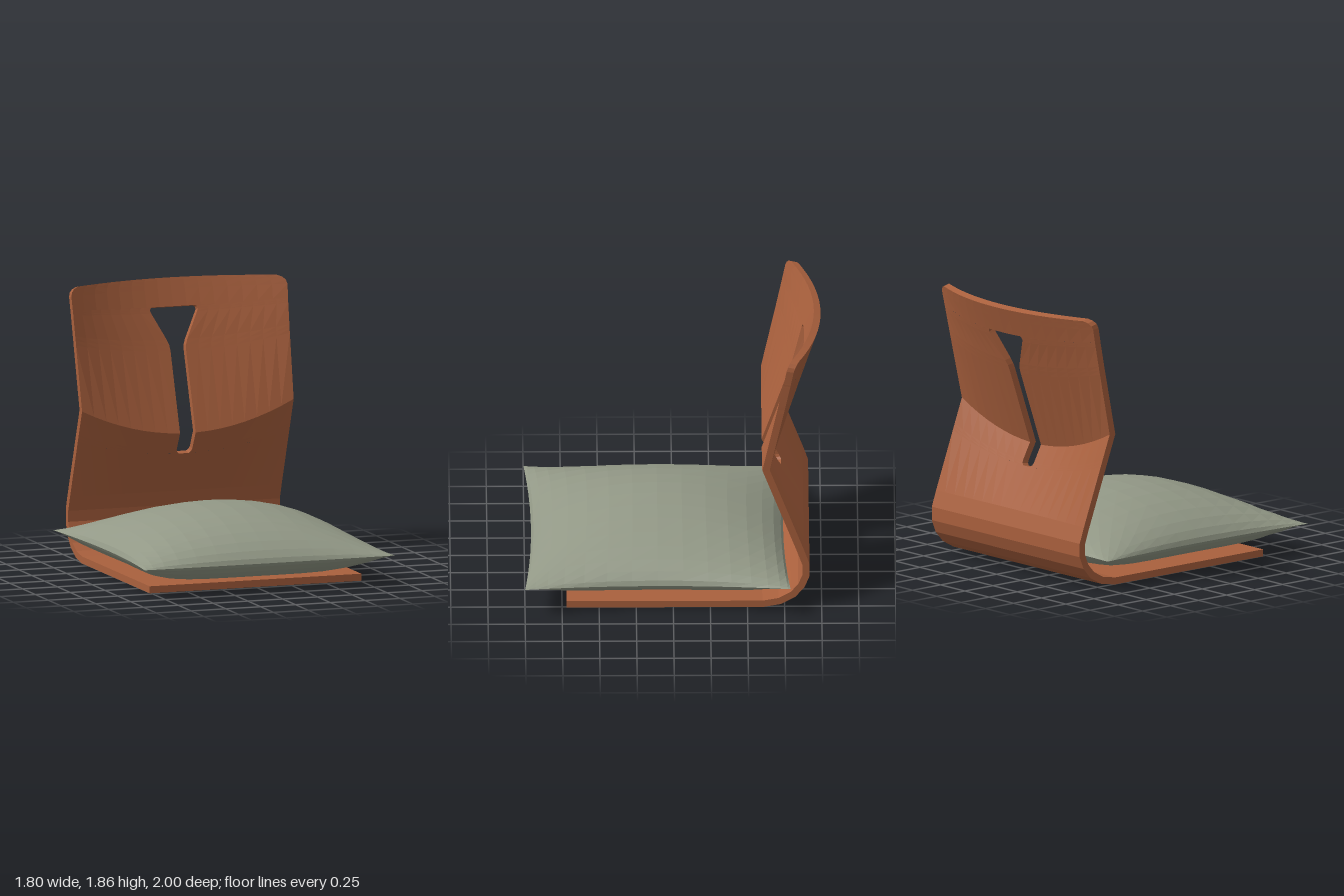
import * as THREE from 'three';

// Collects quads into a faceted geometry; flip reverses the winding
function quadBuilder() {
  const pos = [];
  return {
    quad(a, b, c, d, flip = false) {
      const order = flip ? [a, c, b, a, d, c] : [a, b, c, a, c, d];
      for (const p of order) pos.push(...p);
    },
    build() {
      const g = new THREE.BufferGeometry();
      g.setAttribute('position', new THREE.Float32BufferAttribute(pos, 3));
      g.computeVertexNormals();
      return g;
    },
  };
}

const THICK = 0.048;

// Sheet cross-section [z, y] at a given x: seat, bend, lower back, crease, top
function profile(x) {
  const e = (x / 0.76) ** 2;
  return [
    [0.72, 0.05], [-0.6, 0.05], [-0.71, 0.07], [-0.79, 0.115], [-0.842, 0.175],
    [-0.87, 0.245], [-0.87, 0.32], [-0.835, 0.42],
    [-0.6, 0.85 + 0.19 * e], [-0.952 + 0.168 * e, 1.86],
  ];
}

// Point on the front (or mitred back) surface at profile parameter p
function sheetPoint(x, p, back) {
  const pts = profile(x);
  const at = (i) => {
    const [z, y] = pts[i];
    if (!back) return [z, y];
    const normal = (a, b) => {
      const dz = pts[b][0] - pts[a][0], dy = pts[b][1] - pts[a][1];
      const l = Math.hypot(dz, dy);
      return [-dy / l, dz / l];
    };
    const n1 = normal(Math.max(i - 1, 0), Math.max(i, 1));
    const n2 = normal(Math.min(i, 8), Math.min(i + 1, 9));
    const k = THICK / (1 + n1[0] * n2[0] + n1[1] * n2[1]);
    return [z + (n1[0] + n2[0]) * k, y + (n1[1] + n2[1]) * k];
  };
  const i = Math.min(Math.floor(p), 8), f = p - i;
  const a = at(i), b = at(i + 1);
  return [x, a[1] + (b[1] - a[1]) * f, a[0] + (b[0] - a[0]) * f];
}

// Bent sheet with a slot; each row is [profile parameter, slot half width, outer half width]
function sheetGeometry() {
  const rows = [
    [0, 0, 0.76], [1, 0, 0.76], [2, 0, 0.76], [3, 0, 0.76], [4, 0, 0.76],
    [5, 0, 0.76], [6, 0, 0.76], [7, 0, 0.76],
    [7.65, 0, 0.76], [7.65, 0.035, 0.76], [7.68, 0.05, 0.76], [7.72, 0.056, 0.76],
    [8, 0.056, 0.76], [8.53, 0.056, 0.768], [8.565, 0.06, 0.768], [8.6, 0.073, 0.769],
    [8.775, 0.165, 0.772], [8.79, 0.172, 0.772], [8.805, 0.168, 0.773],
    [8.814, 0.155, 0.773], [8.814, 0, 0.773],
    [8.927, 0, 0.776], [8.96, 0, 0.768], [8.985, 0, 0.748], [9, 0, 0.715],
  ];
  const N = 8, q = quadBuilder();
  for (const s of [1, -1]) {
    const flip = s < 0;
    const grid = (back) => rows.map(([p, a, b]) =>
      Array.from({ length: N + 1 }, (_, j) => sheetPoint(s * (a + (b - a) * j / N), p, back)));
    const F = grid(false), B = grid(true), last = rows.length - 1;
    for (let i = 0; i < last; i++) {
      if (rows[i][0] !== rows[i + 1][0]) {
        for (let j = 0; j < N; j++) {
          q.quad(F[i][j], F[i][j + 1], F[i + 1][j + 1], F[i + 1][j], flip);
          q.quad(B[i][j], B[i][j + 1], B[i + 1][j + 1], B[i + 1][j], !flip);
        }
        q.quad(F[i][N], B[i][N], B[i + 1][N], F[i + 1][N], flip);
      }
      // Slot wall
      if (rows[i][1] > 0 || rows[i + 1][1] > 0)
        q.quad(F[i][0], B[i][0], B[i + 1][0], F[i + 1][0], !flip);
    }
    // Front lip of the seat and top edge of the back
    for (let j = 0; j < N; j++) {
      q.quad(B[0][j], B[0][j + 1], F[0][j + 1], F[0][j], flip);
      q.quad(B[last][j], B[last][j + 1], F[last][j + 1], F[last][j], !flip);
    }
  }
  return q.build();
}

// Pillow with pinched sides and pointed corners
function cushionGeometry() {
  const N = 16, q = quadBuilder();
  const point = (i, j, top) => {
    const u = Math.sin((i / N - 0.5) * Math.PI), v = Math.sin((j / N - 0.5) * Math.PI);
    const puff = top
      ? 0.28 * Math.max(0, (1 - u * u) * (1 - v * v)) ** 0.65
      : -0.147 * Math.max(0, (1 - Math.abs(u) ** 5) * (1 - Math.abs(v) ** 5)) ** 0.8;
    const seam = 0.2 + 0.01 * u * u * v * v;
    return [
      u * (0.9 - 0.07 * (1 - v * v)),
      seam + puff,
      0.105 + v * (0.895 - 0.045 * (1 - u * u)),
    ];
  };
  for (let i = 0; i < N; i++)
    for (let j = 0; j < N; j++)
      for (const top of [true, false])
        q.quad(point(i, j, top), point(i + 1, j, top), point(i + 1, j + 1, top), point(i, j + 1, top), top);
  return q.build();
}

export function createModel() {
  const wood = new THREE.MeshStandardMaterial({ color: 0xa9603d });
  wood.name = 'warm wood';
  const fabric = new THREE.MeshStandardMaterial({ color: 0x929886 });
  fabric.name = 'grey green fabric';

  const group = new THREE.Group();
  group.name = 'legless chair';
  const sheet = new THREE.Mesh(sheetGeometry(), wood);
  sheet.name = 'bentSeatAndBack';
  const cushion = new THREE.Mesh(cushionGeometry(), fabric);
  cushion.name = 'cushion';
  group.add(sheet, cushion);
  return group;
}
